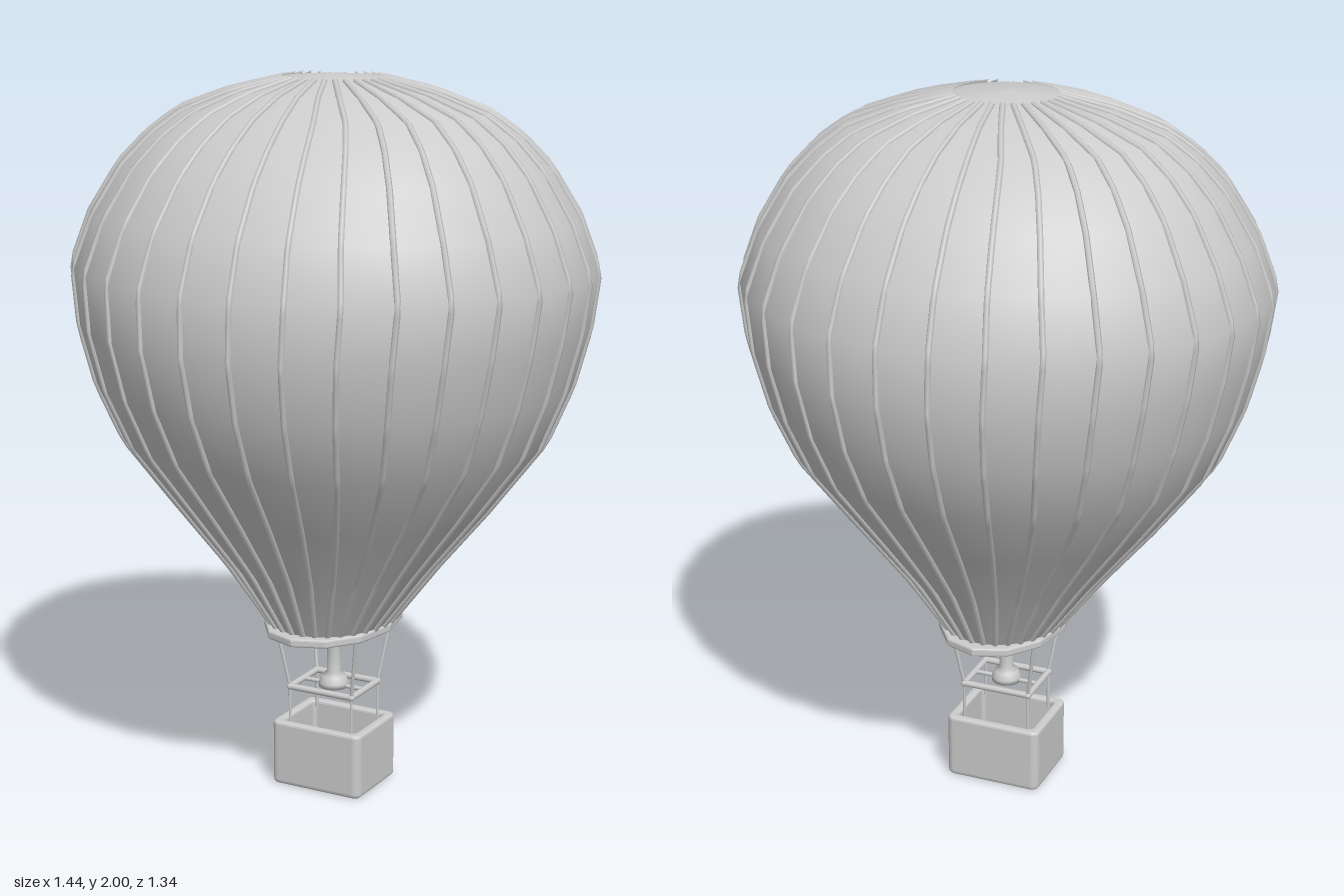
import * as THREE from 'three';
import { mergeVertices } from 'three/addons/utils/BufferGeometryUtils.js';

const grey = new THREE.MeshStandardMaterial({ color: 0xcccccc });

// Envelope rows, bottom to top: [height, half width in x, half depth in z]
const rows = [
  [0.48, 0.16, 0.2], [0.66, 0.3, 0.3], [0.84, 0.45, 0.425], [1.02, 0.588, 0.555],
  [1.18, 0.655, 0.63], [1.34, 0.698, 0.668], [1.49, 0.72, 0.664], [1.63, 0.667, 0.612],
  [1.76, 0.59, 0.52], [1.84, 0.515, 0.435], [1.9, 0.43, 0.35], [1.95, 0.29, 0.25],
  [1.985, 0.14, 0.13], [1.995, 0.0001, 0.0001],
];

function add(parent, name, geometry, x = 0, y = 0, z = 0) {
  const mesh = new THREE.Mesh(geometry, grey);
  mesh.name = name;
  mesh.position.set(x, y, z);
  parent.add(mesh);
  return mesh;
}

// Straight round bar between two points
function bar(parent, name, a, b, radius) {
  const from = new THREE.Vector3(...a), to = new THREE.Vector3(...b);
  const dir = to.clone().sub(from);
  const mesh = add(parent, name, new THREE.CylinderGeometry(radius, radius, dir.length(), 10));
  mesh.position.copy(from).addScaledVector(dir, 0.5);
  mesh.quaternion.setFromUnitVectors(new THREE.Vector3(0, 1, 0), dir.normalize());
}

// Lathe whose depth is rescaled row by row to make elliptical sections
function envelopeGeometry() {
  let geo = new THREE.LatheGeometry(rows.map(([y, rx]) => new THREE.Vector2(rx, y)), 64);
  const pos = geo.attributes.position;
  for (let i = 0; i < pos.count; i++) {
    const [, rx, rz] = rows[i % rows.length];
    pos.setZ(i, pos.getZ(i) * rz / rx);
  }
  geo.deleteAttribute('uv');
  geo.deleteAttribute('normal');
  geo = mergeVertices(geo, 1e-5);
  geo.computeVertexNormals();
  return geo;
}

// Seam tape following the envelope rows at one angle, ending short of the crown
function ribGeometry(angle) {
  const points = rows.slice(0, -1).map(([y, rx, rz]) =>
    new THREE.Vector3(rx * Math.cos(angle), y, rz * Math.sin(angle)));
  const path = new THREE.CurvePath();
  for (let i = 1; i < points.length; i++) path.add(new THREE.LineCurve3(points[i - 1], points[i]));
  return new THREE.TubeGeometry(path, 48, 0.0085, 6);
}

function roundedRect(path, w, d, r) {
  path.moveTo(-w + r, -d);
  path.lineTo(w - r, -d).absarc(w - r, -d + r, r, -Math.PI / 2, 0, false);
  path.lineTo(w, d - r).absarc(w - r, d - r, r, 0, Math.PI / 2, false);
  path.lineTo(-w + r, d).absarc(-w + r, d - r, r, Math.PI / 2, Math.PI, false);
  path.lineTo(-w, -d + r).absarc(-w + r, -d + r, r, Math.PI, Math.PI * 1.5, false);
  return path;
}

// Upright slab from a flat outline, with rounded edges
function slab(shape, height, bevel) {
  const geo = new THREE.ExtrudeGeometry(shape, {
    depth: height - 2 * bevel, bevelThickness: bevel, bevelSize: bevel,
    bevelOffset: -bevel, bevelSegments: 3, curveSegments: 6,
  });
  return geo.rotateX(-Math.PI / 2).translate(0, bevel, 0);
}

export function createModel() {
  const model = new THREE.Group();
  model.name = 'hotAirBalloon';

  // Envelope with its seam ribs
  add(model, 'envelope', envelopeGeometry());
  const ribs = new THREE.Group();
  ribs.name = 'ribs';
  model.add(ribs);
  for (let i = 0; i < 32; i++) add(ribs, 'rib', ribGeometry((i + 0.5) * Math.PI / 16));

  // Oval mouth plate
  const oval = new THREE.Shape();
  oval.absellipse(0, 0, 0.178, 0.245, 0, Math.PI * 2);
  const plate = slab(oval, 0.024, 0.006);
  add(model, 'mouthRing', plate, 0, 0.468, 0);

  // Burner frame and its cross bar
  const fx = 0.098, fz = 0.078, fy = 0.285;
  for (const s of [-1, 1]) {
    bar(model, 'frameBar', [-fx, fy, s * fz], [fx, fy, s * fz], 0.009);
    bar(model, 'frameBar', [s * fx, fy, -fz], [s * fx, fy, fz], 0.009);
  }
  bar(model, 'burnerSupport', [-fx, fy, 0], [fx, fy, 0], 0.006);
  for (const sx of [-1, 1]) for (const sz of [-1, 1]) {
    add(model, 'frameCorner', new THREE.SphereGeometry(0.01, 12, 8), sx * fx, fy, sz * fz);
    bar(model, 'upperCable', [sx * fx, fy, sz * fz], [sx * 0.127, 0.472, sz * 0.105], 0.005);
    bar(model, 'lowerCable', [sx * fx, 0.17, sz * fz], [sx * fx, fy, sz * fz], 0.004);
  }

  // Burner with flared foot and lip
  const burner = [[0, 0.28], [0.042, 0.28], [0.042, 0.293], [0.034, 0.312], [0.02, 0.325],
    [0.02, 0.4], [0.026, 0.415], [0.026, 0.422], [0.017, 0.422], [0, 0.41]];
  add(model, 'burner', new THREE.LatheGeometry(burner.map(p => new THREE.Vector2(...p)), 24));

  // Basket: rounded floor, hollow walls
  const walls = roundedRect(new THREE.Shape(), 0.14, 0.115, 0.022);
  walls.holes.push(roundedRect(new THREE.Path(), 0.113, 0.088, 0.012));
  add(model, 'basketWalls', slab(walls, 0.175, 0.009), 0, 0.012, 0);
  const floor = roundedRect(new THREE.Shape(), 0.14, 0.115, 0.022);
  add(model, 'basketFloor', slab(floor, 0.04, 0.012));

  return model;
}
